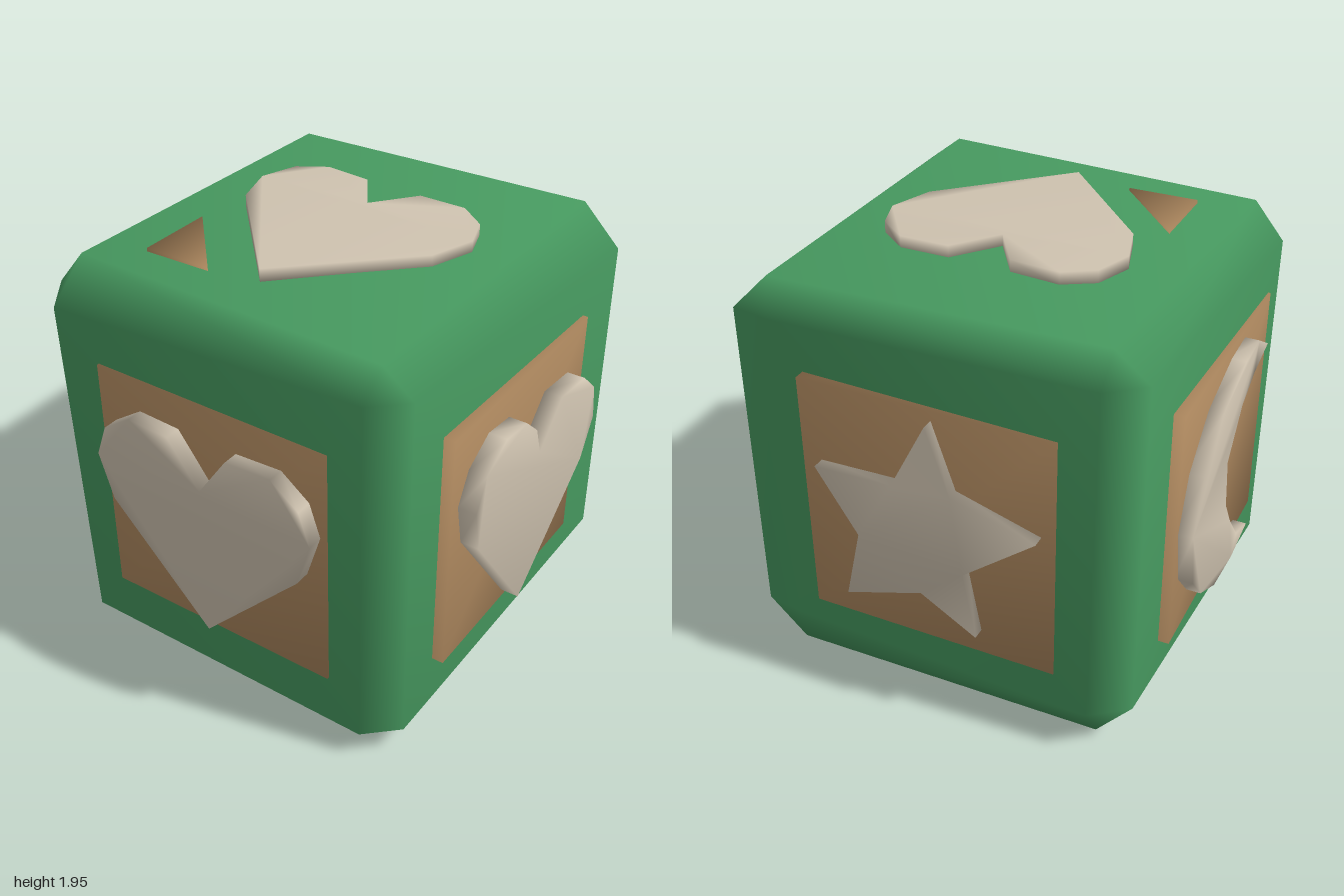
import * as THREE from 'three';
import { mergeVertices } from 'three/addons/utils/BufferGeometryUtils.js';
import { ConvexGeometry } from 'three/addons/geometries/ConvexGeometry.js';

const paint = (name, color) => Object.assign(new THREE.MeshStandardMaterial({ color }), { name });

// Weld the corners so that shading flows softly over the whole part
function soften(geometry) {
  geometry.deleteAttribute('normal');
  geometry.deleteAttribute('uv');
  const welded = mergeVertices(geometry, 1e-4);
  welded.computeVertexNormals();
  return welded;
}

// Extrude a flat outline from depth z0 to z1
function slab(points, z0, z1) {
  const shape = new THREE.Shape(points.map(([u, v]) => new THREE.Vector2(u, v)));
  const g = new THREE.ExtrudeGeometry(shape, { depth: z1 - z0, bevelEnabled: false });
  return soften(g.translate(0, 0, z0));
}

function part(name, geometry, material) {
  const mesh = new THREE.Mesh(geometry, material);
  mesh.name = name;
  return mesh;
}

// Slightly crooked block: outer corner position, then its bevel along each axis
const CORNERS = [
  [-0.93, 1.88, 0.905, 0.14, 0.17, 0.19],
  [0.86, 1.9, 0.91, 0.14, 0.11, 0.13],
  [0.86, 0.03, 0.905, 0.14, 0.1, 0.13],
  [-0.92, 0.0, 0.9, 0.18, 0.13, 0.18],
  [-0.88, 1.895, -0.935, 0.15, 0.12, 0.12],
  [0.9, 1.9, -0.89, 0.18, 0.18, 0.03],
  [0.9, 0.04, -0.89, 0.18, 0.17, 0.03],
  [-0.88, 0.02, -0.945, 0.16, 0.19, 0.12],
];

function blockGeometry() {
  const points = [];
  for (const [x, y, z, bx, by, bz] of CORNERS) {
    const xi = x - Math.sign(x) * bx;
    const yi = y - Math.sign(y - 0.95) * by;
    const zi = z - Math.sign(z) * bz;
    points.push(
      new THREE.Vector3(x, yi, zi),
      new THREE.Vector3(xi, y, zi),
      new THREE.Vector3(xi, yi, z),
    );
  }
  return soften(new ConvexGeometry(points));
}

const FRONT_HEART = [
  [0, 1.16], [0.14, 1.36], [0.36, 1.37], [0.49, 1.27], [0.54, 1.12], [0.475, 0.91],
  [0, 0.42], [-0.48, 0.92], [-0.545, 1.13], [-0.49, 1.28], [-0.35, 1.375], [-0.15, 1.365],
];
const SIDE_HEART = [
  [0.02, 1.16], [0.19, 1.34], [0.41, 1.32], [0.53, 1.21], [0.56, 1.04], [0.47, 0.86],
  [-0.06, 0.42], [-0.48, 0.98], [-0.52, 1.18], [-0.45, 1.32], [-0.3, 1.41], [-0.13, 1.39],
  [-0.03, 1.3],
];
const TOP_HEART = [
  [0, 0.22], [0.15, 0.41], [0.37, 0.41], [0.5, 0.31], [0.55, 0.16], [0.48, -0.04],
  [-0.02, -0.52], [-0.48, -0.01], [-0.54, 0.19], [-0.48, 0.36], [-0.35, 0.44], [-0.13, 0.42],
];
const STAR = [
  [0.04, 1.48], [0.14, 1.18], [0.51, 1.07], [0.185, 0.81], [0.24, 0.5],
  [-0.01, 0.65], [-0.37, 0.53], [-0.295, 0.86], [-0.48, 1.15], [-0.125, 1.16],
];
const MOON = [
  [0.35, 1.39], [0.2, 1.48], [0.02, 1.47], [-0.26, 1.375], [-0.46, 1.19], [-0.55, 0.95],
  [-0.5, 0.68], [-0.37, 0.53], [-0.16, 0.42], [0.09, 0.4], [0.31, 0.44], [0.14, 0.5],
  [0, 0.67], [-0.09, 0.81], [-0.13, 1.06], [0.02, 1.26], [0.17, 1.34],
];

export function createModel() {
  const green = paint('green', 0x479a60);
  const tan = paint('tan', 0xb08a60);
  const cream = paint('cream', 0xcfc3b0);

  const model = new THREE.Group();
  model.name = 'toyBlock';
  model.add(part('block', blockGeometry(), green));

  // Four sides: turn, distance of the panel face, outline, depth range of the emblem
  const sides = [
    ['front', 0, 0.917, FRONT_HEART, 0.918, 0.99],
    ['left', Math.PI / 2, 0.917, SIDE_HEART, 0.918, 1.0],
    ['back', Math.PI, 0.945, STAR, 0.94, 1.0],
    ['right', -Math.PI / 2, 0.936, MOON, 0.92, 1.0],
  ];
  for (const [name, turn, face, outline, z0, z1] of sides) {
    const side = new THREE.Group();
    side.name = name + 'Side';
    side.rotation.y = turn;
    const panel = new THREE.BoxGeometry(1.135, 1.14, 0.4).translate(0, 0.95, face - 0.2);
    side.add(part(name + 'Panel', soften(panel), tan));
    side.add(part(name + 'Emblem', slab(outline, z0, z1), cream));
    model.add(side);
  }

  // Top: heart and the panel corner that shows through the block
  const top = new THREE.Group();
  top.name = 'topSide';
  top.rotation.x = -Math.PI / 2;
  top.add(part('topEmblem', slab(TOP_HEART, 1.89, 1.95), cream));
  top.add(part('topPanelCorner', slab([[-0.57, -0.2], [-0.57, -0.56], [-0.25, -0.56]], 1.5, 1.9), tan));
  model.add(top);

  return model;
}
